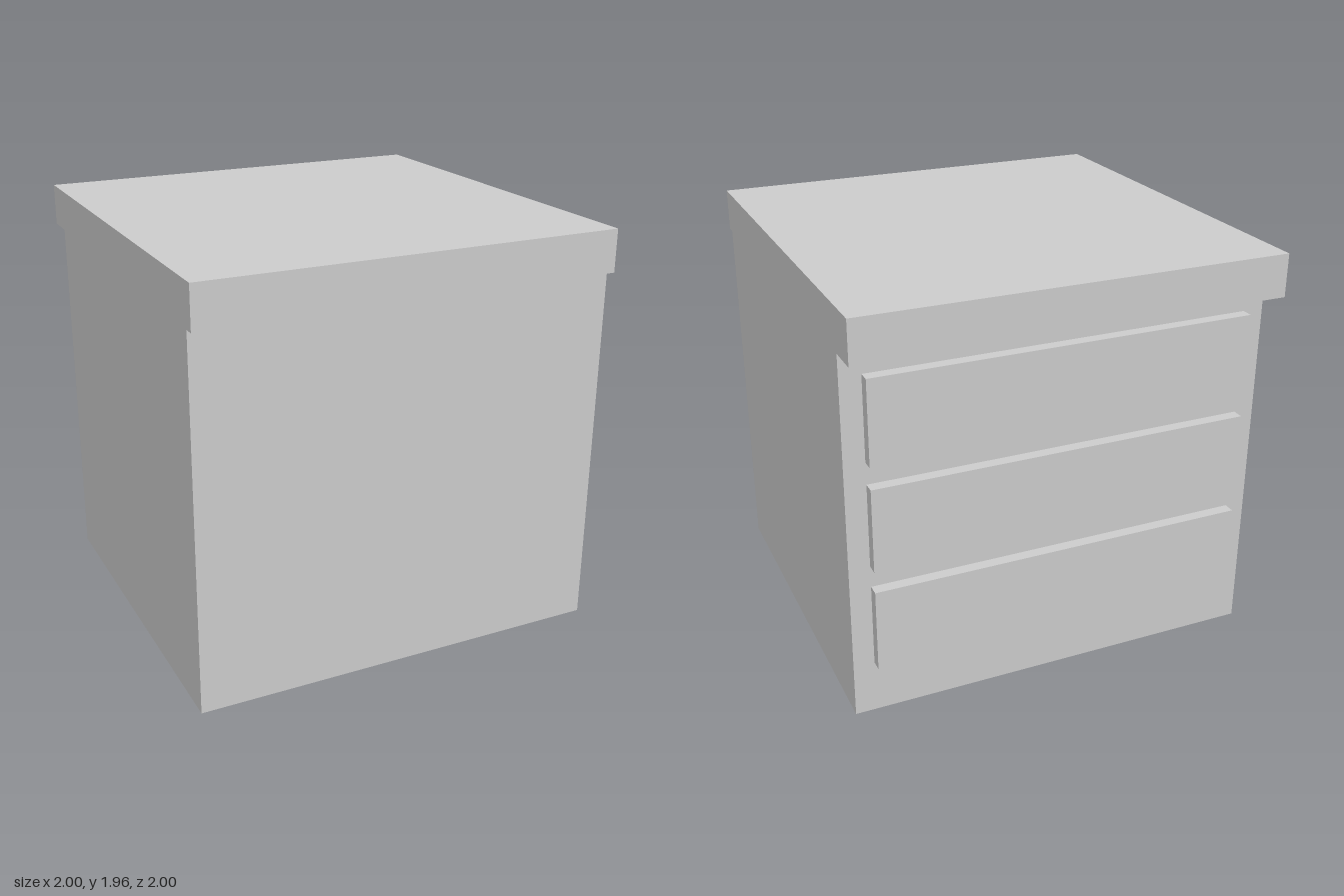
import * as THREE from 'three';

export function createModel() {
  const group = new THREE.Group();
  const material = new THREE.MeshStandardMaterial({ color: 0xcccccc, flatShading: true });

  // Box spanning the given y and z ranges, centred on x
  function addBox(name, width, [y0, y1], [z0, z1]) {
    const mesh = new THREE.Mesh(new THREE.BoxGeometry(width, y1 - y0, z1 - z0), material);
    mesh.position.set(0, (y0 + y1) / 2, (z0 + z1) / 2);
    mesh.name = name;
    group.add(mesh);
  }

  // Cabinet and overhanging worktop
  addBox('cabinetBody', 2, [0, 1.755], [-0.845, 0.95]);
  addBox('worktop', 2, [1.755, 1.955], [-1, 1]);

  // Three raised drawer fronts on the -z side
  for (let i = 0; i < 3; i++) {
    const y = 0.255 + i * 0.5;
    addBox(`drawerFront${i + 1}`, 1.805, [y, y + 0.397], [-0.9, -0.845]);
  }

  return group;
}
